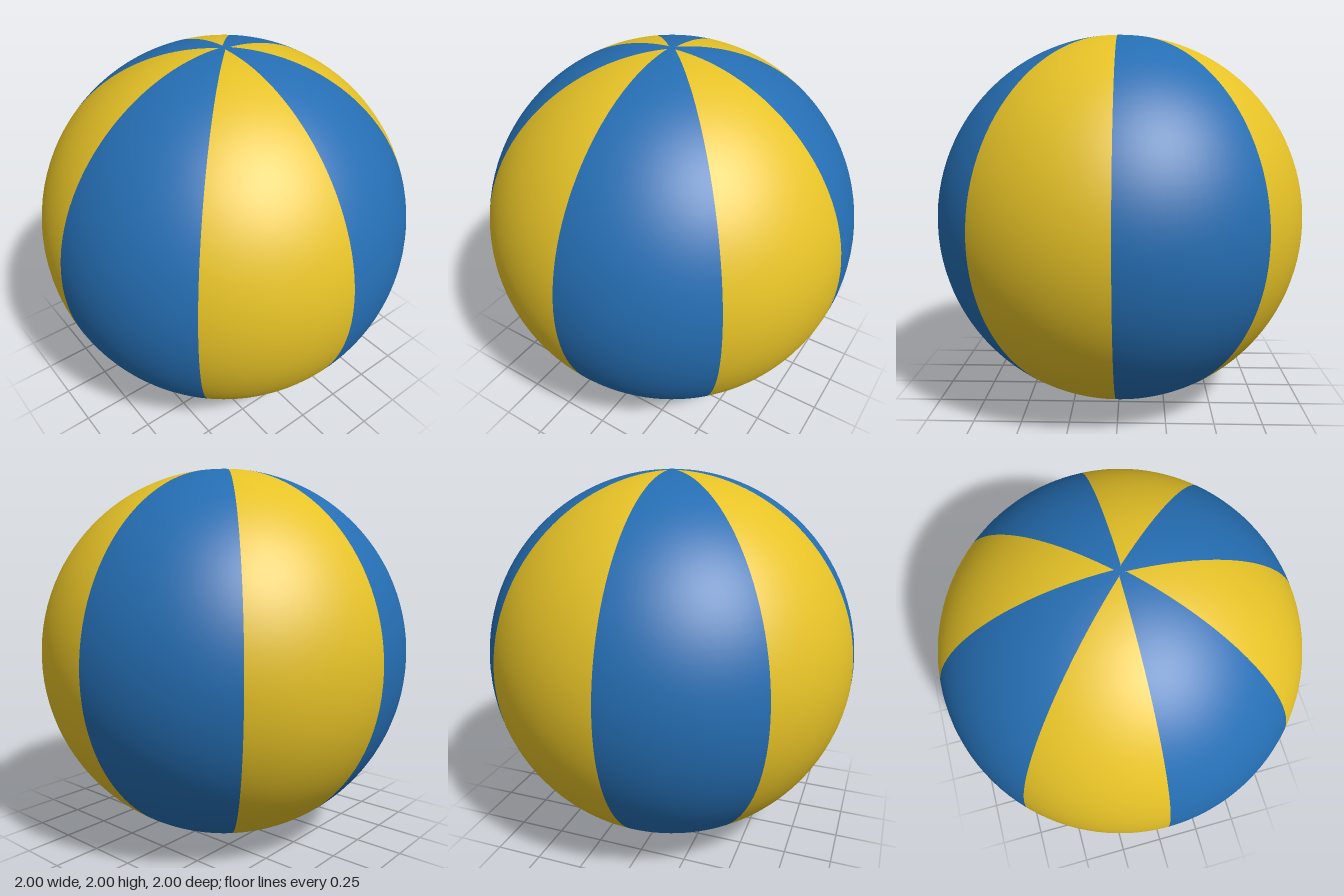
import * as THREE from 'three';

const PANELS = 8;
const HALF = Math.PI / PANELS; // half the angle of one panel
const SEAM = 0.01;             // blue overlaps yellow by this much at each seam

// One gore of the unit sphere; its edges shift by a constant width, so blue closes over both poles.
function panelGeometry(centre, shift) {
  const geometry = new THREE.SphereGeometry(1, 14, 96, centre - HALF, HALF * 2);
  const { position, normal, uv } = geometry.attributes;
  for (let i = 0; i < position.count; i++) {
    const across = uv.getX(i) * 2 - 1;
    const t = 1 - uv.getY(i);
    // rows bunch together towards the poles, where the tips are sharp
    const theta = Math.PI * t - 0.4 * Math.sin(2 * Math.PI * t);
    const ring = Math.sin(theta);
    const inset = ring > SEAM ? Math.min(HALF, Math.asin(SEAM / ring)) : HALF;
    const phi = centre + across * (HALF + shift * inset);
    const x = -Math.cos(phi) * ring, y = Math.cos(theta), z = Math.sin(phi) * ring;
    position.setXYZ(i, x, y, z);
    normal.setXYZ(i, x, y, z);
  }
  return geometry;
}

export function createModel() {
  const blue = new THREE.MeshStandardMaterial({ name: 'blue', color: 0x256eb3 });
  const yellow = new THREE.MeshStandardMaterial({ name: 'yellow', color: 0xe6c227 });

  const ball = new THREE.Group();
  ball.name = 'beachBall';

  // alternating panels around the vertical axis
  for (let i = 0; i < PANELS; i++) {
    const isBlue = i % 2 === 0;
    const geometry = panelGeometry((2 * i + 1) * HALF, isBlue ? 1 : -1);
    const panel = new THREE.Mesh(geometry, isBlue ? blue : yellow);
    panel.name = isBlue ? 'bluePanel' : 'yellowPanel';
    panel.position.y = 1;
    ball.add(panel);
  }
  return ball;
}
